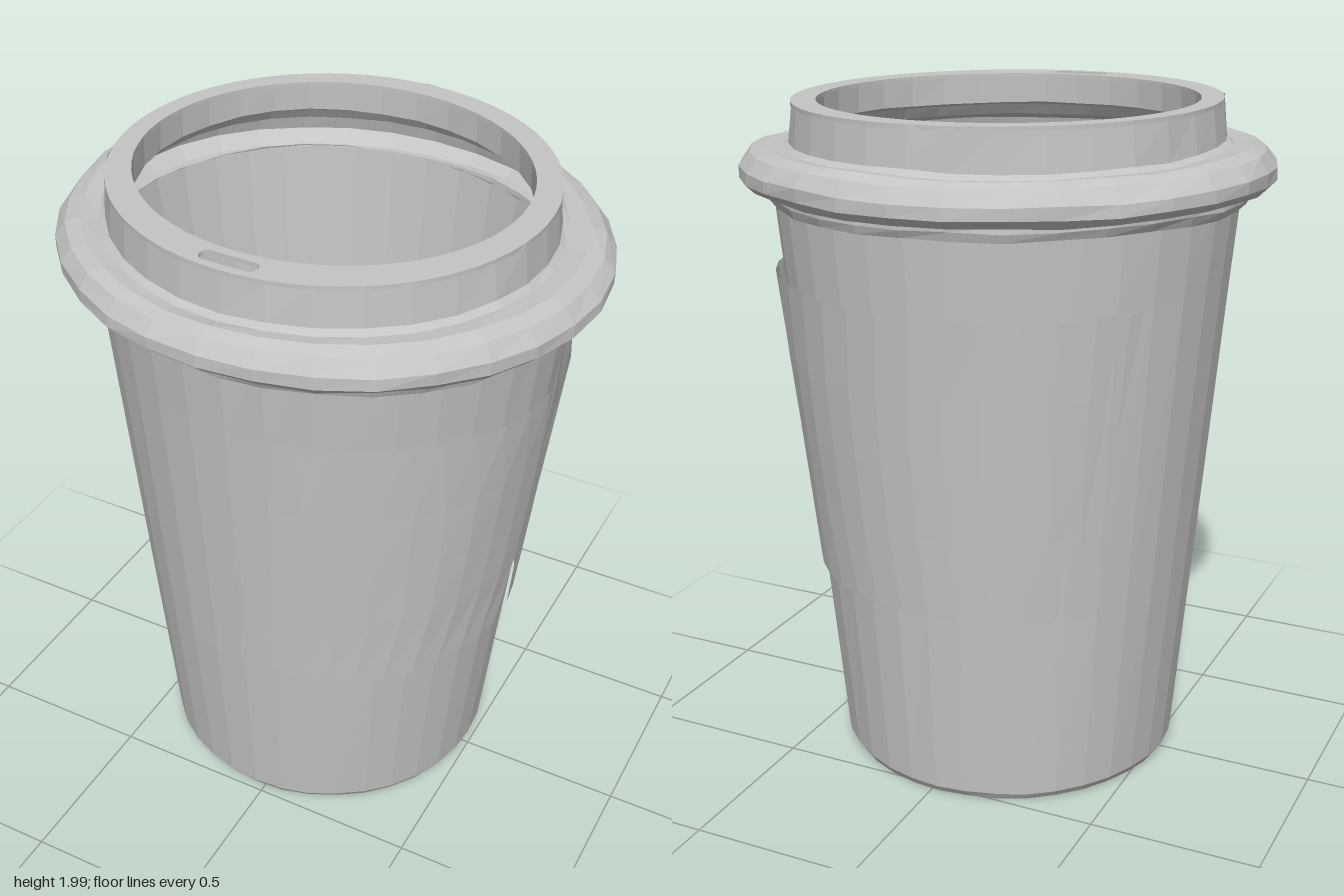
import * as THREE from 'three';

const paper = new THREE.MeshStandardMaterial({ color: 0xc4c4c4, flatShading: true, side: THREE.DoubleSide });
paper.name = 'plain grey';

// Small repeatable irregularity for a hand-modelled look
const wobble = (a, seed) =>
  0.5 * Math.sin(3 * a + seed) + 0.3 * Math.sin(7 * a + 2.3 * seed) + 0.2 * Math.sin(13 * a + 4.1 * seed);

// Skin through elliptical rings [y, rx, rz, cx, cz]; gap(i) leaves an opening at +x
function loft(rows, segs, { wobR = 0, wobY = 0, gap = null, tilt = 0 } = {}) {
  const pos = [], index = [];
  rows.forEach(([y, rx, rz, cx = 0, cz = 0], i) => {
    const g = gap ? gap(i) : 0;
    for (let j = 0; j <= segs; j++) {
      const a = g + (j / segs) * (Math.PI * 2 - 2 * g);
      const k = rx > 0 ? 1 + wobR * wobble(a, 1 + i * 0.4) : 0;
      const x = cx + Math.cos(a) * rx * k;
      pos.push(x, y + wobY * wobble(a, 2 + i * 0.3) + tilt * x, cz + Math.sin(a) * rz * k);
    }
  });
  const w = segs + 1;
  for (let i = 0; i < rows.length - 1; i++) {
    for (let j = 0; j < segs; j++) {
      const p = i * w + j, u = p + w;
      index.push(p, u, p + 1, p + 1, u, u + 1);
    }
  }
  let geo = new THREE.BufferGeometry();
  geo.setAttribute('position', new THREE.Float32BufferAttribute(pos, 3));
  geo.setIndex(index);
  geo = geo.toNonIndexed();
  geo.computeVertexNormals();
  return geo;
}

export function createModel() {
  const group = new THREE.Group();
  group.name = 'takeawayCup';
  const add = (name, geo) => {
    const mesh = new THREE.Mesh(geo, paper);
    mesh.name = name;
    group.add(mesh);
  };

  // Hollow tapered cup: recessed underside, outer wall, rim, inner wall, floor
  const c = -0.025;
  add('cupBody', loft([
    [0.05, 0, 0, c, c],
    [0.05, 0.44, 0.44, c, c],
    [0.015, 0.455, 0.455, c, c],
    [0.012, 0.5, 0.5, c, c],
    [0.035, 0.515, 0.515, c, c],
    [0.6, 0.572, 0.553, -0.017, -0.017],
    [1.5, 0.662, 0.614, -0.003, -0.009],
    [1.75, 0.688, 0.632, 0, -0.005],
    [1.75, 0.66, 0.605, 0, -0.005],
    [0.08, 0.45, 0.45, c, c],
    [0.06, 0, 0, c, c],
  ], 36, { wobR: 0.004, wobY: 0.004 }));

  // Wrapped sleeve with its seam notched at both ends
  const gaps = [0.08, 0.012, 0.004, 0.012, 0.08];
  add('sleeve', loft([
    [0.605, 0.576, 0.56, -0.005, -0.02],
    [0.85, 0.602, 0.576, 0, -0.02],
    [1.05, 0.622, 0.59, 0.004, -0.02],
    [1.25, 0.643, 0.603, 0.008, -0.02],
    [1.49, 0.668, 0.619, 0.012, -0.02],
  ], 40, { wobR: 0.004, wobY: 0.01, gap: (i) => gaps[i] }));

  // Lid skirt, rolled flange and raised collar
  add('lidOuter', loft([
    [1.745, 0.665, 0.61],
    [1.705, 0.675, 0.625],
    [1.705, 0.7, 0.65],
    [1.73, 0.715, 0.66],
    [1.75, 0.715, 0.66],
    [1.75, 0.755, 0.7],
    [1.775, 0.782, 0.727],
    [1.81, 0.782, 0.727],
    [1.85, 0.75, 0.7],
    [1.865, 0.705, 0.665],
    [1.86, 0.65, 0.63],
    [1.872, 0.63, 0.61],
    [1.985, 0.618, 0.602],
  ], 32, { wobR: 0.008, wobY: 0.008, tilt: -0.012 }));

  // Inside of the collar and the hollow under the flange
  add('lidInner', loft([
    [1.98, 0.555, 0.522, -0.01, -0.015],
    [1.9, 0.558, 0.525, -0.01, -0.015],
    [1.885, 0.6, 0.575],
    [1.85, 0.625, 0.6],
    [1.83, 0.7, 0.655],
    [1.78, 0.72, 0.67],
    [1.745, 0.68, 0.625],
  ], 32, { wobR: 0.004, wobY: 0.004, tilt: -0.012 }));

  // Collar top ring with the drinking slot at the front
  const ring = new THREE.Shape().absellipse(0, 0, 0.62, 0.604, 0, Math.PI * 2);
  ring.holes.push(new THREE.Path().absellipse(-0.01, -0.015, 0.553, 0.52, 0, Math.PI * 2));
  const slot = new THREE.Path();
  slot.moveTo(-0.07, 0.532).lineTo(0.07, 0.532);
  slot.quadraticCurveTo(0.095, 0.555, 0.07, 0.578);
  slot.lineTo(-0.07, 0.578);
  slot.quadraticCurveTo(-0.095, 0.555, -0.07, 0.532);
  ring.holes.push(slot);
  const top = new THREE.ExtrudeGeometry(ring, { depth: 0.012, bevelEnabled: false, curveSegments: 32 });
  top.rotateX(Math.PI / 2);
  top.rotateZ(-0.012);
  top.translate(0, 1.99, 0);
  add('lidTopRing', top);

  return group;
}
